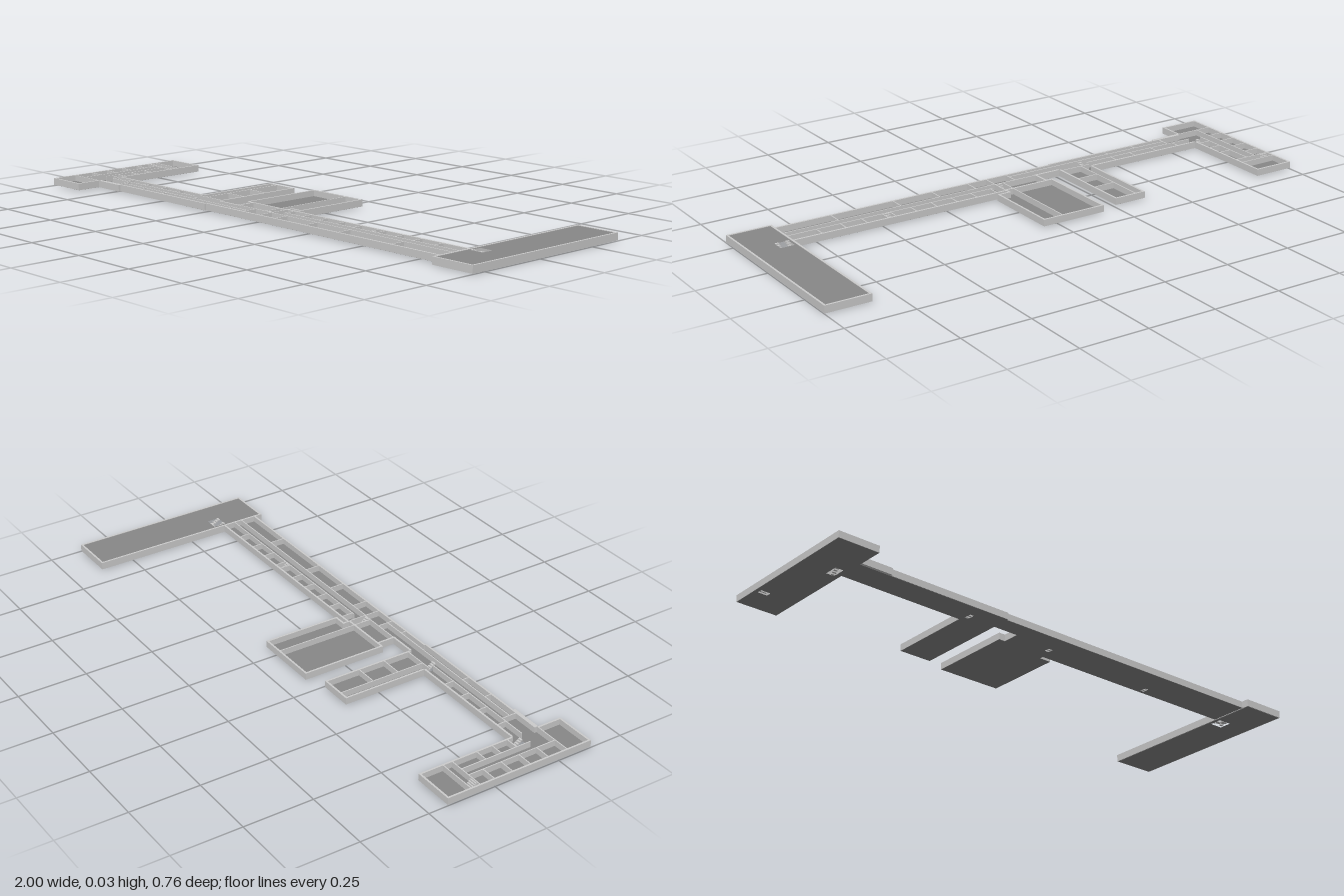
import * as THREE from 'three';

const BASE = 0.004, FLOOR = 0.007, TOP = 0.028;
const wallMat = new THREE.MeshStandardMaterial({ color: 0xcccccc, flatShading: true });
const floorMat = new THREE.MeshStandardMaterial({ color: 0x888888, flatShading: true });

// Box from plan corners and a height range
function block(parent, name, x0, x1, z0, z1, y0 = BASE, y1 = TOP) {
  const m = new THREE.Mesh(new THREE.BoxGeometry(x1 - x0, y1 - y0, z1 - z0), wallMat);
  m.position.set((x0 + x1) / 2, (y0 + y1) / 2, (z0 + z1) / 2);
  m.name = name;
  parent.add(m);
}

// Dark slab in plan with rectangular stair openings [x0, x1, z0, z1];
// its underside sits just below the walls
function slab(parent, name, points, holes = [], y0 = BASE - 0.0005, y1 = FLOOR) {
  const toShape = ([x, z]) => new THREE.Vector2(x, -z);
  const shape = new THREE.Shape(points.map(toShape));
  for (const [a, b, c, d] of holes) {
    shape.holes.push(new THREE.Path([[a, c], [b, c], [b, d], [a, d]].map(toShape)));
  }
  const g = new THREE.ExtrudeGeometry(shape, { depth: y1 - y0, bevelEnabled: false });
  g.rotateX(-Math.PI / 2);
  const m = new THREE.Mesh(g, floorMat);
  m.position.y = y0;
  m.name = name;
  parent.add(m);
}

// Rectangle drawn in slightly, so the walls cover the slab edge
const rect = (x0, x1, z0, z1, i = 0.001) =>
  [[x0 + i, z0 + i], [x1 - i, z0 + i], [x1 - i, z1 - i], [x0 + i, z1 - i]];

// Walls centred on a line running along x or z
const wallX = (p, z, x0, x1, t = 0.004) => block(p, 'innerWall', x0, x1, z - t / 2, z + t / 2);
const wallZ = (p, x, z0, z1, t = 0.004) => block(p, 'innerWall', x - t / 2, x + t / 2, z0, z1);

// Outer walls lying just inside the rectangle; sides picks n, s, e, w
function outerWalls(p, x0, x1, z0, z1, sides = 'nsew', t = 0.007, y0 = BASE) {
  if (sides.includes('n')) block(p, 'outerWall', x0, x1, z0, z0 + t, y0);
  if (sides.includes('s')) block(p, 'outerWall', x0, x1, z1 - t, z1, y0);
  if (sides.includes('w')) block(p, 'outerWall', x0, x0 + t, z0, z1, y0);
  if (sides.includes('e')) block(p, 'outerWall', x1 - t, x1, z0, z1, y0);
}

// Short flight of steps rising along z
function stairs(p, x0, x1, z0, z1, steps = 5, bottom = BASE) {
  const d = (z1 - z0) / steps;
  for (let i = 0; i < steps; i++) {
    const y = bottom + (TOP - bottom) * (i + 1) / steps;
    block(p, 'stairStep', x0, x1, z0 + i * d, z0 + (i + 1) * d, y - 0.005, y);
  }
}

function section(root, name) {
  const g = new THREE.Group();
  g.name = name;
  root.add(g);
  return g;
}

export function createModel() {
  const root = new THREE.Group();
  root.name = 'buildingFloor';

  // West wing: central corridor with rooms either side
  const west = section(root, 'westWing');
  slab(west, 'floor', rect(-1, -0.848, -0.18, 0.378),
    [[-0.985, -0.95, -0.08, -0.06], [-0.895, -0.865, 0.165, 0.215]]);
  outerWalls(west, -1, -0.848, -0.18, 0.378, 'nsw');
  block(west, 'outerWall', -0.855, -0.848, -0.18, 0.18);
  block(west, 'outerWall', -0.855, -0.848, 0.285, 0.378);
  wallX(west, -0.09, -1, -0.85);
  wallX(west, -0.055, -1, -0.85);
  wallX(west, 0.285, -1, -0.85);
  wallZ(west, -0.937, -0.055, 0.285);
  wallZ(west, -0.9, -0.055, 0.215);
  for (const z of [0.0, 0.07, 0.14, 0.21]) wallX(west, z, -1, -0.937);
  for (const z of [0.04, 0.1, 0.16]) wallX(west, z, -0.9, -0.85);
  stairs(west, -0.88, -0.865, 0.165, 0.2);
  stairs(west, -0.985, -0.955, -0.085, -0.06);

  // West link: two rows of rooms along a passage
  const link = section(root, 'westLink');
  slab(link, 'floor', rect(-0.855, -0.375, 0.18, 0.28));
  outerWalls(link, -0.848, -0.38, 0.18, 0.281, 'ns');
  block(link, 'outerWall', -0.848, -0.73, 0.281, 0.288);
  wallX(link, 0.22, -0.85, -0.38);
  wallX(link, 0.25, -0.75, -0.38);
  wallZ(link, -0.75, 0.22, 0.28);
  for (const x of [-0.77, -0.67, -0.575, -0.49]) wallZ(link, x, 0.18, 0.22);
  for (const x of [-0.62, -0.5]) wallZ(link, x, 0.25, 0.28);

  // Narrow wing
  const narrow = section(root, 'narrowWing');
  slab(narrow, 'floor', rect(-0.382, -0.258, -0.133, 0.281), [[-0.375, -0.36, 0.2, 0.23]]);
  outerWalls(narrow, -0.382, -0.258, -0.133, 0.281, 'ns');
  block(narrow, 'outerWall', -0.265, -0.258, -0.133, 0.21);
  block(narrow, 'outerWall', -0.382, -0.375, -0.133, 0.18);
  wallZ(narrow, -0.345, -0.13, 0.2);
  for (const z of [0.0, 0.1]) wallX(narrow, z, -0.345, -0.26);
  wallX(narrow, 0.2, -0.38, -0.26);
  wallX(narrow, 0.25, -0.38, -0.26);
  stairs(narrow, -0.372, -0.355, 0.2, 0.235);

  // Middle link below the hall
  const middle = section(root, 'middleLink');
  slab(middle, 'floor',
    [[-0.262, 0.211], [-0.162, 0.211], [-0.162, 0.147], [0.012, 0.147], [0.012, 0.275], [-0.262, 0.275]],
    [[-0.015, 0.005, 0.18, 0.2]]);
  outerWalls(middle, -0.258, 0.01, 0.21, 0.276, 's');
  block(middle, 'outerWall', -0.258, -0.16, 0.21, 0.217);
  block(middle, 'outerWall', -0.163, -0.156, 0.145, 0.217);
  wallX(middle, 0.212, -0.156, 0.01);
  wallX(middle, 0.25, -0.26, -0.07);
  wallZ(middle, -0.07, 0.21, 0.275);
  wallZ(middle, -0.15, 0.25, 0.275);
  wallZ(middle, -0.02, 0.145, 0.21);
  wallZ(middle, 0.012, 0.145, 0.275);
  stairs(middle, -0.012, 0.004, 0.185, 0.21, 4);

  // Large hall with one partition and a notched corner
  const hall = section(root, 'hall');
  slab(hall, 'floor',
    [[-0.186, -0.161], [0.057, -0.161], [0.057, 0.124], [0.013, 0.124], [0.013, 0.149], [-0.186, 0.149]]);
  outerWalls(hall, -0.187, 0.058, -0.162, 0.125, 'new');
  block(hall, 'outerWall', -0.187, 0.014, 0.143, 0.15);
  block(hall, 'outerWall', -0.187, -0.18, 0.125, 0.15);
  block(hall, 'outerWall', 0.007, 0.058, 0.118, 0.125);
  block(hall, 'outerWall', 0.007, 0.014, 0.125, 0.15);
  wallZ(hall, -0.02, -0.16, 0.15);

  // East link: rooms on both sides of a long corridor
  const east = section(root, 'eastLink');
  slab(east, 'floor', rect(0.005, 0.84, 0.138, 0.276), [[0.455, 0.47, 0.15, 0.175]]);
  outerWalls(east, 0.01, 0.84, 0.138, 0.276, 'ns');
  wallX(east, 0.185, 0.04, 0.84);
  wallX(east, 0.215, 0.01, 0.84);
  for (const x of [0.05, 0.13, 0.21, 0.29, 0.37, 0.45, 0.48, 0.56, 0.64, 0.73]) wallZ(east, x, 0.14, 0.185);
  for (const x of [0.09, 0.235, 0.39, 0.63]) wallZ(east, x, 0.215, 0.275);
  stairs(east, 0.455, 0.472, 0.155, 0.183);

  // East wing: roofed block with a light rim and a stair opening
  const wing = section(root, 'eastWing');
  slab(wing, 'roofedBlock', rect(0.835, 1, -0.378, 0.303, 0.003), [[0.85, 0.9, 0.105, 0.15]], 0.0015, 0.0265);
  outerWalls(wing, 0.835, 1, -0.378, 0.303, 'nsew', 0.007, 0.002);
  stairs(wing, 0.85, 0.862, 0.11, 0.15, 5, 0.005);
  stairs(wing, 0.887, 0.9, 0.11, 0.15, 5, 0.005);
  block(wing, 'landing', 0.85, 0.9, 0.105, 0.118, 0.012, 0.016);
  block(wing, 'stairFoot', 0.862, 0.887, 0.14, 0.15, 0, 0.005);

  return root;
}
